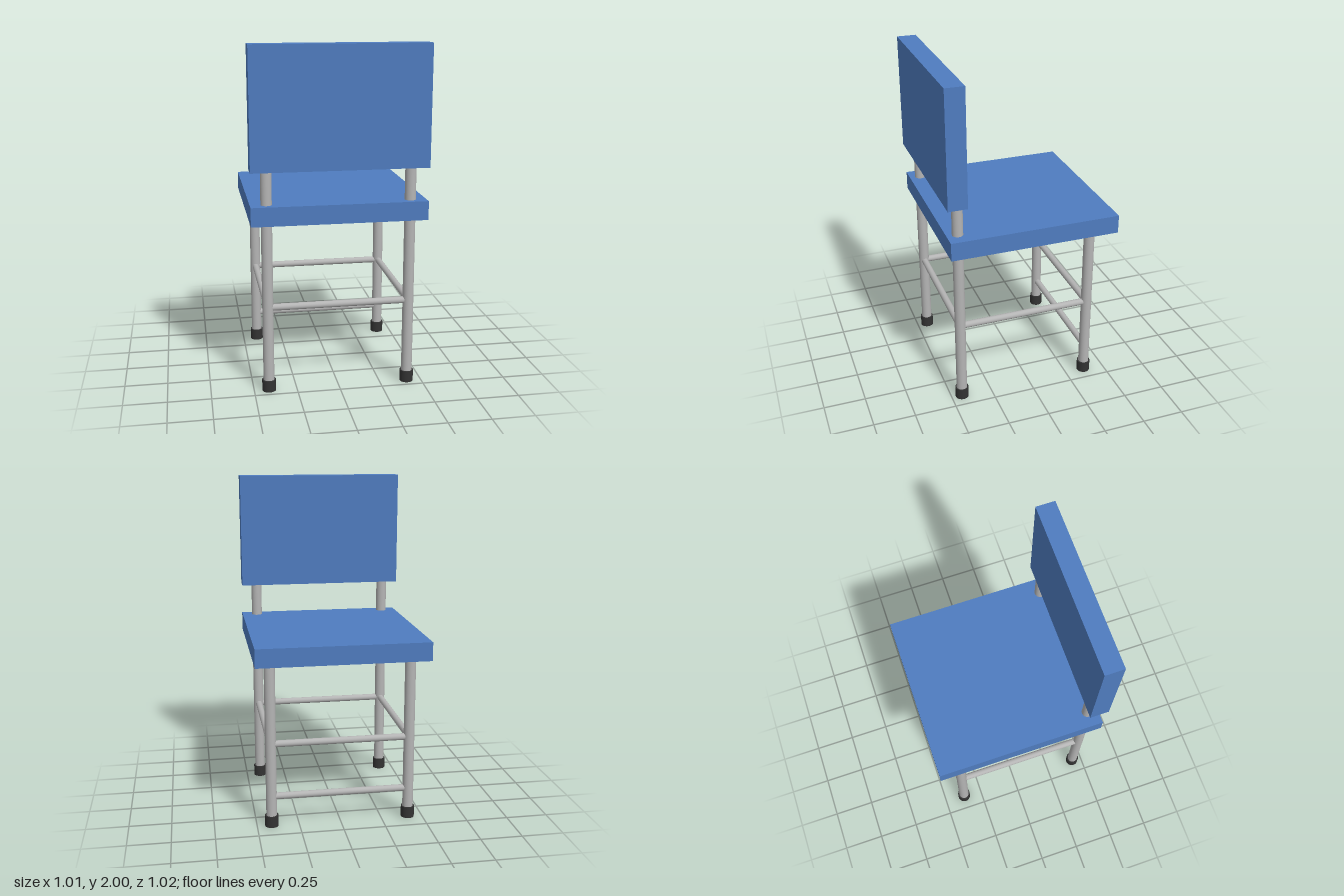
import * as THREE from 'three';

const blue = new THREE.MeshStandardMaterial({ color: 0x4f7cbf });
const metal = new THREE.MeshStandardMaterial({ color: 0xb4b4b4 });
const rubber = new THREE.MeshStandardMaterial({ color: 0x333333 });

const LEG_X = 0.413, BACK_Z = 0.435, FRONT_Z = -0.37;

function box(name, w, h, d, x, y, z) {
  const mesh = new THREE.Mesh(new THREE.BoxGeometry(w, h, d), blue);
  mesh.name = name;
  mesh.position.set(x, y, z);
  return mesh;
}

// Round bar between two points
function bar(name, from, to, radius, material) {
  const a = new THREE.Vector3(...from), b = new THREE.Vector3(...to);
  const dir = b.clone().sub(a);
  const mesh = new THREE.Mesh(new THREE.CylinderGeometry(radius, radius, dir.length(), 32), material);
  mesh.name = name;
  mesh.position.copy(a).add(b).multiplyScalar(0.5);
  mesh.quaternion.setFromUnitVectors(new THREE.Vector3(0, 1, 0), dir.normalize());
  return mesh;
}

export function createModel() {
  const chair = new THREE.Group();
  chair.name = 'chair';

  // Cushions
  chair.add(box('seat', 1.01, 0.11, 1.01, 0, 1.06, -0.005));
  chair.add(box('backrest', 1.01, 0.69, 0.113, 0, 1.655, 0.455));

  for (const x of [-LEG_X, LEG_X]) {
    // Legs: the pair under the backrest carries on up to hold it
    chair.add(bar('backLeg', [x, 0.03, BACK_Z], [x, 1.36, BACK_Z], 0.032, metal));
    chair.add(bar('seatLeg', [x, 0.03, FRONT_Z], [x, 1.03, FRONT_Z], 0.032, metal));
    // Rubber feet
    for (const z of [BACK_Z, FRONT_Z]) {
      chair.add(bar('foot', [x, 0, z], [x, 0.068, z], 0.04, rubber));
    }
    // Side rungs
    chair.add(bar('sideRung', [x, 0.51, FRONT_Z], [x, 0.51, BACK_Z], 0.02, metal));
  }

  // Cross rungs, with an extra low one away from the backrest
  for (const [y, z] of [[0.51, BACK_Z], [0.51, FRONT_Z], [0.185, FRONT_Z]]) {
    chair.add(bar('crossRung', [-LEG_X, y, z], [LEG_X, y, z], 0.02, metal));
  }
  return chair;
}
